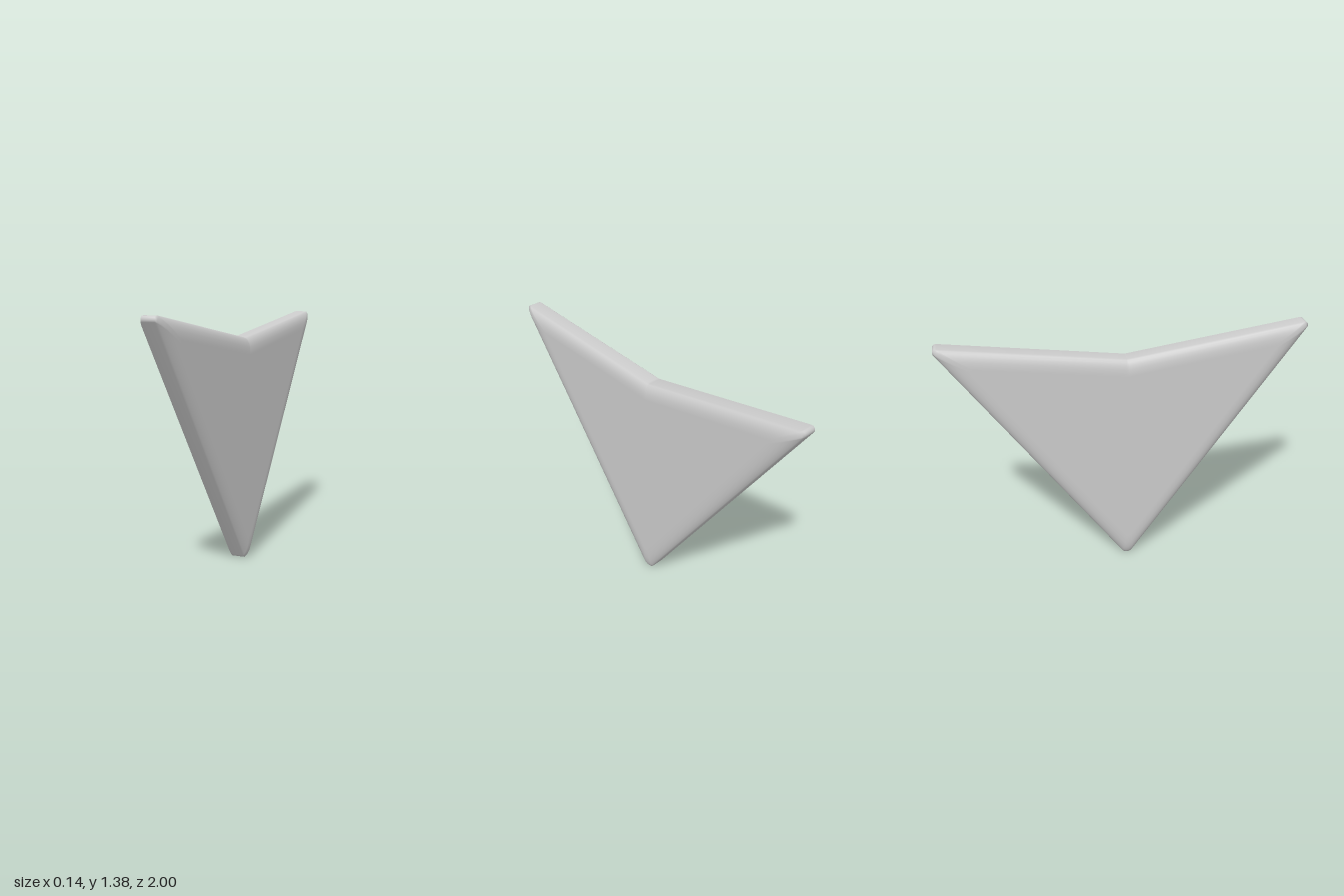
import * as THREE from 'three';

// Sharp outline in (z, y), counter-clockwise, with a corner radius each
const corners = [
  { p: new THREE.Vector2(0, -0.025), r: 0.035 },
  { p: new THREE.Vector2(1.023, 1.391), r: 0.02 },
  { p: new THREE.Vector2(0, 1.25), r: 0.05 },
  { p: new THREE.Vector2(-1.023, 1.391), r: 0.02 },
];

// Rounded edge: [inset from the outline, half thickness], rim to face
const profile = [[0, 0.036], [0.006, 0.044], [0.016, 0.053], [0.032, 0.061], [0.052, 0.066], [0.075, 0.068], [0.09, 0.068]];
const ARC = 6;

// Outline moved inward by d, with each corner filleted by an arc
function outline(d) {
  const n = corners.length;
  const sharp = corners.map(({ p }, i) => {
    const e0 = p.clone().sub(corners[(i + n - 1) % n].p).normalize();
    const e1 = corners[(i + 1) % n].p.clone().sub(p).normalize();
    const n0 = new THREE.Vector2(-e0.y, e0.x), n1 = new THREE.Vector2(-e1.y, e1.x);
    return p.clone().addScaledVector(n0.clone().add(n1), d / (1 + n0.dot(n1)));
  });
  const points = [];
  sharp.forEach((p, i) => {
    const u = sharp[(i + n - 1) % n].clone().sub(p).normalize();
    const v = sharp[(i + 1) % n].clone().sub(p).normalize();
    const half = Math.acos(u.dot(v)) / 2;
    const r = corners[i].r * (1 - 5 * d);
    const c = p.clone().addScaledVector(u.clone().add(v).normalize(), r / Math.sin(half));
    const a = p.clone().addScaledVector(u, r / Math.tan(half)).sub(c);
    const b = p.clone().addScaledVector(v, r / Math.tan(half)).sub(c);
    const sweep = Math.atan2(a.cross(b), a.dot(b));
    for (let k = 0; k <= ARC; k++) {
      const t = a.angle() + (sweep * k) / ARC;
      points.push(new THREE.Vector2(c.x + r * Math.cos(t), c.y + r * Math.sin(t)));
    }
  });
  return points;
}

// Plate lofted from the -x face, round the rim, to the +x face
function plateGeometry() {
  const rows = [
    ...profile.map(([d, x]) => [d, -x]).reverse(),
    ...profile,
  ];
  const position = [], index = [];
  const n = corners.length * (ARC + 1);
  for (const [d, x] of rows) for (const q of outline(d)) position.push(x, q.y, q.x);
  for (let i = 0; i < rows.length - 1; i++) {
    for (let j = 0; j < n; j++) {
      const a = i * n + j, b = i * n + ((j + 1) % n);
      index.push(a, a + n, b, b, a + n, b + n);
    }
  }
  // Flat faces
  const last = (rows.length - 1) * n;
  for (const [a, b, c] of THREE.ShapeUtils.triangulateShape(outline(rows[0][0]), [])) {
    index.push(a, b, c, last + a, last + c, last + b);
  }
  const g = new THREE.BufferGeometry();
  g.setAttribute('position', new THREE.Float32BufferAttribute(position, 3));
  g.setIndex(index);
  g.computeVertexNormals();
  return g;
}

export function createModel() {
  const group = new THREE.Group();
  const plate = new THREE.Mesh(plateGeometry(), new THREE.MeshStandardMaterial({ color: 0xcccccc }));
  plate.name = 'notchedTriangularPlate';
  group.add(plate);
  return group;
}
